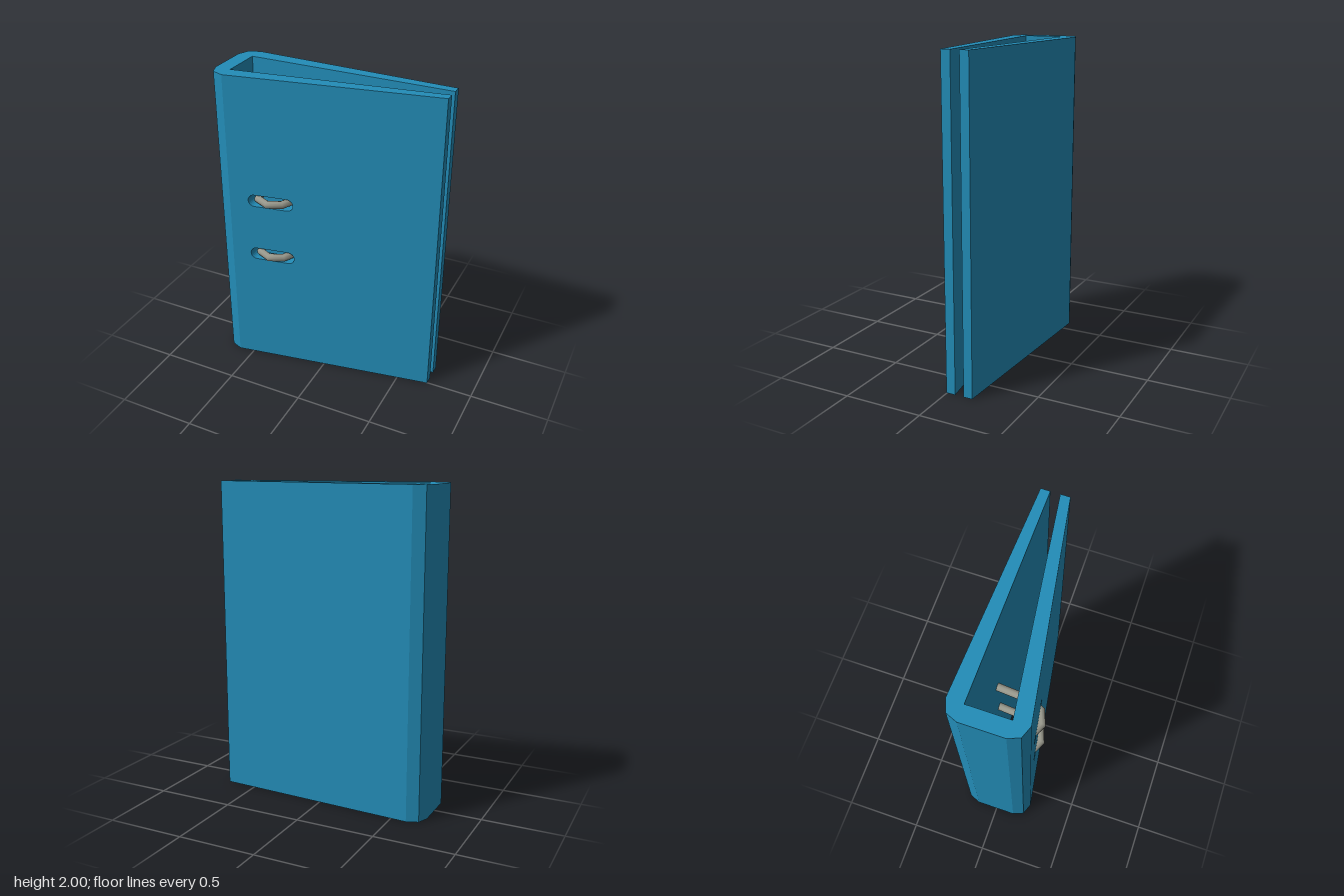
import * as THREE from 'three';

const blue = new THREE.MeshStandardMaterial({ color: 0x238db8 });
blue.name = 'blue board';
const steel = new THREE.MeshStandardMaterial({ color: 0x98988c });
steel.name = 'dull steel';

const HEIGHT = 2;
const RING_HEIGHTS = [0.81, 1.195];

function add(group, name, geometry, material) {
  const mesh = new THREE.Mesh(geometry, material);
  mesh.name = name;
  group.add(mesh);
}

// Upright board from an outline of [x, z] points
function uprightBoard(outline) {
  const shape = new THREE.Shape(outline.map(([x, z]) => new THREE.Vector2(x, -z)));
  return new THREE.ExtrudeGeometry(shape, { depth: HEIGHT, bevelEnabled: false }).rotateX(-Math.PI / 2);
}

// Rounded slot cut through the front cover
function slot(y) {
  const r = 0.04, x0 = -0.44, x1 = -0.232;
  const path = new THREE.Path();
  path.absarc(x1, y, r, -Math.PI / 2, Math.PI / 2, false);
  path.absarc(x0, y, r, Math.PI / 2, Math.PI * 1.5, false);
  path.closePath();
  return path;
}

// Front cover: slotted panel slanted and tapered towards its free edge
function frontCover() {
  const shape = new THREE.Shape();
  shape.moveTo(-0.6, 0).lineTo(0.7, 0).lineTo(0.7, HEIGHT).lineTo(-0.6, HEIGHT).closePath();
  shape.holes = RING_HEIGHTS.map(slot);
  const geometry = new THREE.ExtrudeGeometry(shape, { depth: 1, bevelEnabled: false, curveSegments: 6 });
  const p = geometry.attributes.position;
  for (let i = 0; i < p.count; i++) {
    const t = (p.getX(i) + 0.6) / 1.3;
    const inner = THREE.MathUtils.lerp(0.124, -0.056, t);
    const outer = THREE.MathUtils.lerp(0.222, 0.003, t);
    p.setZ(i, THREE.MathUtils.lerp(inner, outer, p.getZ(i)));
  }
  geometry.computeVertexNormals();
  return geometry;
}

// Straight segments with mitred bends
class BentWire extends THREE.Curve {
  constructor(points) {
    super();
    this.points = points;
  }
  getPoint(t, target = new THREE.Vector3()) {
    const n = this.points.length - 1;
    const i = Math.min(Math.floor(t * n + 1e-6), n - 1);
    return target.lerpVectors(this.points[i], this.points[i + 1], t * n - i);
  }
  getPointAt(t, target) {
    return this.getPoint(t, target);
  }
  getTangentAt(t, target = new THREE.Vector3()) {
    const n = this.points.length - 1;
    const i = Math.round(t * n);
    const a = this.points[Math.max(i - 1, 0)], b = this.points[i], c = this.points[Math.min(i + 1, n)];
    const before = b.clone().sub(a).normalize();
    return target.copy(c).sub(b).normalize().add(before).normalize();
  }
}

export function createModel() {
  const model = new THREE.Group();
  model.name = 'ring binder';

  // Spine with chamfered corners, running into the back cover
  add(model, 'spineAndBackCover', uprightBoard([
    [0.7, -0.113], [0.7, -0.17], [-0.6, -0.232], [-0.672, -0.204], [-0.7, -0.135],
    [-0.7, 0.125], [-0.672, 0.194], [-0.6, 0.222], [-0.6, 0.124], [-0.6, -0.132],
  ]), blue);

  add(model, 'frontCover', frontCover(), blue);

  // Rings rise from the back cover and bend over through the slots
  const ringPath = [
    [-0.433, -0.15], [-0.45, 0.085], [-0.43, 0.163], [-0.347, 0.203],
    [-0.262, 0.17], [-0.222, 0.085], [-0.205, -0.15],
  ];
  RING_HEIGHTS.forEach((y, i) => {
    const wire = new BentWire(ringPath.map(([x, z]) => new THREE.Vector3(x, y, z)));
    const name = i === 0 ? 'lowerRing' : 'upperRing';
    add(model, name, new THREE.TubeGeometry(wire, ringPath.length - 1, 0.025, 10, false), steel);
  });

  return model;
}
